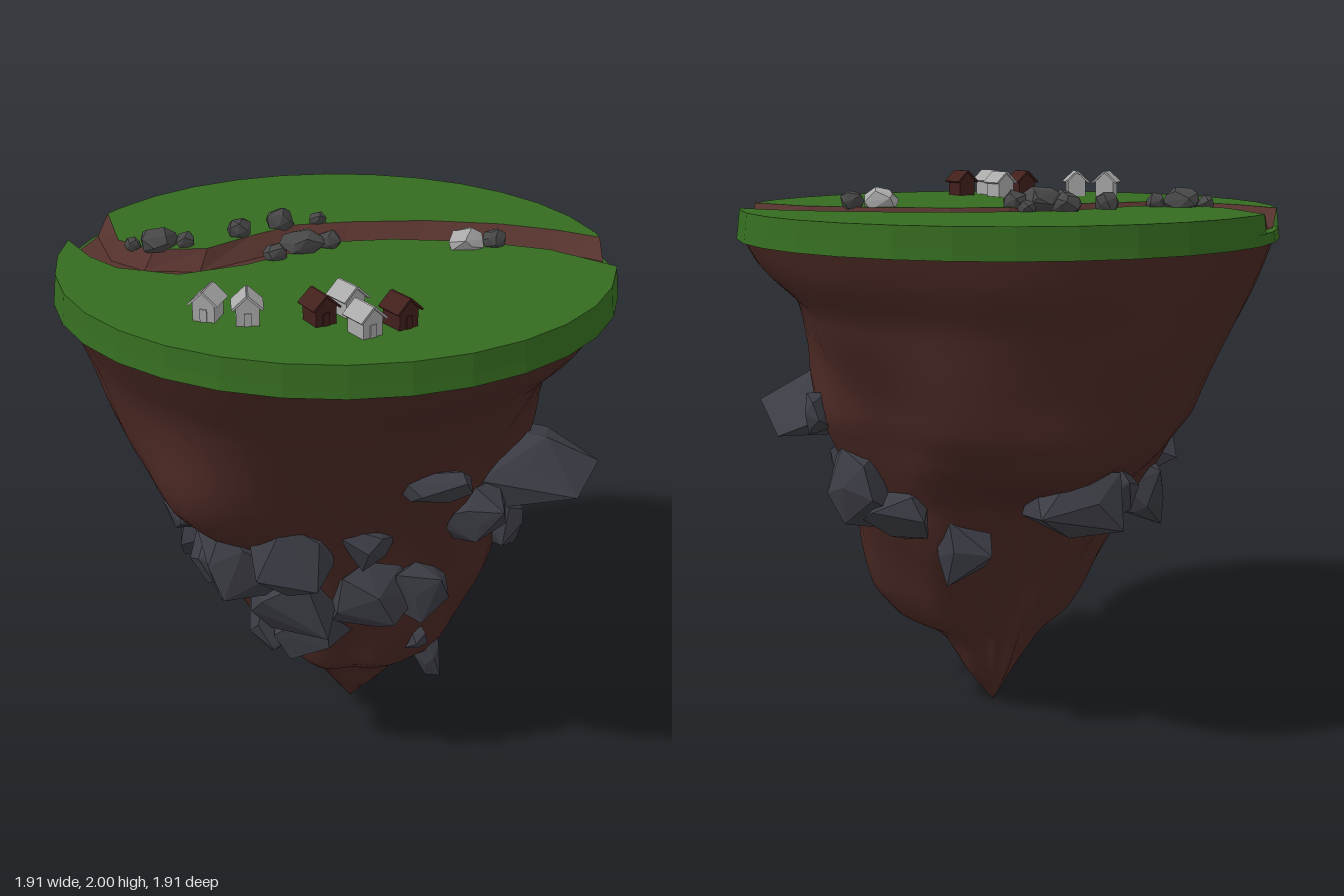
import * as THREE from 'three';
import { ConvexGeometry } from 'three/addons/geometries/ConvexGeometry.js';

const mat = (color, flatShading = true, side = THREE.FrontSide) =>
  new THREE.MeshStandardMaterial({ color, flatShading, side });
const GRASS = mat(0x356b20);
const EARTH = mat(0x4a2823, false, THREE.DoubleSide);
const BED = mat(0x54312c, true, THREE.DoubleSide);
const STONE = mat(0x3b3c44), BOULDER = mat(0x484848), PALE = mat(0xaaaaaa), WOOD = mat(0x42201c);
const SIDES = 32, TOP = 1.9, BED_Y = 1.838, CONE_TOP = 1.81;

let seed = 7;
const rnd = () => (seed = (seed * 16807) % 2147483647) / 2147483647;

function add(parent, name, geometry, material) {
  const mesh = new THREE.Mesh(geometry, material);
  mesh.name = name;
  parent.add(mesh);
  return mesh;
}

// Angular stone: hull of points spread over an ellipsoid
function chunk(n, sx, sy, sz, rough) {
  const pts = [];
  for (let i = 0; i < n; i++) {
    const h = 1 - 2 * (i + 0.5) / n, a = i * 2.4 + rnd() * 0.9;
    const r = Math.sqrt(1 - h * h), k = 1 + rough * (rnd() - 0.6);
    pts.push(new THREE.Vector3(r * Math.cos(a) * sx * k, h * sy * k, r * Math.sin(a) * sz * k));
  }
  return new ConvexGeometry(pts);
}

// The two river banks, west to east, as [x, z]
const northBank = [[-.72, -.61], [-.71, -.3], [-.6, -.17], [-.42, -.14], [-.25, -.24], [-.08, -.32],
  [.12, -.31], [.4, -.26], [.65, -.16], [.82, -.05], [.938, .06]];
const southBank = [[-.88, -.34], [-.82, -.15], [-.74, -.02], [-.55, .09], [-.32, .05], [-.12, -.04],
  [.02, -.11], [.22, -.09], [.5, 0], [.72, .14], [.875, .345]];

// Half of the grass plate: a bank closed by the rim arc from angle a0 to a1
function grassHalf(bank, a0, a1) {
  const pts = bank.map(p => new THREE.Vector2(...p));
  const step = 2 * Math.PI / SIDES, dir = Math.sign(a1 - a0);
  for (let k = 1; k < SIDES; k++) {
    const a = (dir > 0 ? Math.floor(a0 / step) : Math.ceil(a0 / step)) * step + dir * k * step;
    if ((a1 - a) * dir < 0.03) break;
    pts.push(new THREE.Vector2(0.943 * Math.cos(a), 0.943 * Math.sin(a)));
  }
  const g = new THREE.ExtrudeGeometry(new THREE.Shape(pts), { depth: TOP - 1.835, bevelEnabled: false });
  g.rotateX(Math.PI / 2).translate(0, TOP, 0);
  // Rim leans outward toward the bottom
  const p = g.attributes.position;
  for (let i = 0; i < p.count; i++) {
    if (p.getY(i) < 1.87 && Math.hypot(p.getX(i), p.getZ(i)) > 0.92) {
      p.setX(i, p.getX(i) * 1.009);
      p.setZ(i, p.getZ(i) * 1.009);
    }
  }
  g.computeVertexNormals();
  return g;
}

function indexed(pos, idx) {
  const g = new THREE.BufferGeometry();
  g.setAttribute('position', new THREE.Float32BufferAttribute(pos, 3));
  g.setIndex(idx);
  g.computeVertexNormals();
  return g;
}

// River channel: steep north side, flat bed, gentle south side
function riverBed() {
  const pos = [], idx = [];
  northBank.forEach((n, i) => {
    const s = southBank[i];
    [[0, TOP], [0.3, BED_Y + 0.004], [0.74, BED_Y], [1, TOP]].forEach(([t, y]) =>
      pos.push(n[0] + (s[0] - n[0]) * t, y, n[1] + (s[1] - n[1]) * t));
    if (i) for (let j = 0; j < 3; j++) {
      const a = (i - 1) * 4 + j, b = a + 4;
      idx.push(a, a + 1, b, b, a + 1, b + 1);
    }
  });
  return indexed(pos, idx);
}

// Earth cone profile: y, then radii toward +x, +z, -x and -z
const rows = [
  [1.81, .94, .94, .94, .94], [1.7, .88, .87, .89, .92], [1.58, .76, .77, .84, .88],
  [1.4, .72, .68, .77, .85], [1.2, .71, .58, .7, .8], [1.05, .62, .52, .6, .68],
  [.9, .59, .48, .53, .43], [.7, .53, .45, .44, .32], [.5, .45, .38, .34, .2],
  [.38, .36, .34, .27, .14], [.3, .21, .23, .17, .11], [.14, .11, .12, .08, .07], [0, 0, 0, 0, 0]];
const cubic = (a, b, c, d, t) =>
  b + 0.5 * t * (c - a + t * (2 * a - 5 * b + 4 * c - d + t * (3 * (b - c) + d - a)));
const axisX = y => 0.06 * Math.max(0, 1 - y / 1.2);

function coneRadius(a, y) {
  const k = Math.max(0, Math.min(rows.findIndex(r => r[0] <= y) - 1, rows.length - 2));
  const t = (rows[k][0] - y) / (rows[k][0] - rows[k + 1][0]);
  const q = a / (Math.PI / 2), m = Math.floor(q);
  const R = o => {
    const c = 1 + (m + o + 8) % 4;
    return rows[k][c] + (rows[k + 1][c] - rows[k][c]) * t;
  };
  // Front-left shoulder bulges, both sides of the back ridge are hollow
  const lobe = deg => Math.max(0, Math.cos(a - deg * Math.PI / 180)) ** 10;
  const bell = Math.exp(-(((y - 1.22) / 0.25) ** 2));
  const lumps = bell * (0.12 * lobe(140) - 0.09 * lobe(225) - 0.09 * lobe(315));
  // Shallow gullies running down the sides
  const fade = Math.min(1, (CONE_TOP - y) * 2) * Math.min(1, y * 2);
  const gullies = fade * 0.014 * (Math.sin(a * 9 + y * 4) + Math.sin(a * 5 - y * 9));
  return cubic(R(-1), R(0), R(1), R(2), q - m) + lumps + gullies;
}

function earthCone() {
  const cols = 56, steps = 44, pos = [], idx = [];
  for (let i = 0; i <= steps; i++) {
    const y = CONE_TOP * (1 - i / steps) ** 1.1;
    for (let j = 0; j < cols; j++) {
      const a = j / cols * 2 * Math.PI, r = coneRadius(a, y);
      pos.push(axisX(y) + r * Math.cos(a), y, r * Math.sin(a));
      if (i < steps) {
        const n = (j + 1) % cols, A = i * cols + j, B = i * cols + n;
        idx.push(A, B, A + cols, B, B + cols, A + cols);
      }
    }
  }
  return indexed(pos, idx);
}

// Stone set into the cone's surface, at an angle from +x toward +z
function juttingStone(parent, [deg, y, size, tall = 1]) {
  const a = deg * Math.PI / 180, r = coneRadius(a, y);
  const s = add(parent, 'juttingStone', chunk(15, size, size * tall * 1.1, size * 1.1, .6), STONE);
  s.position.set(axisX(y) + r * Math.cos(a), y, r * Math.sin(a));
  s.rotation.set(0, -a, (rnd() - .5) * .5);
}

// House with gabled body, two roof slabs and a door
function house(x, z, turn, material) {
  const g = new THREE.Group();
  g.name = 'house';
  const gable = new THREE.Shape([[-.035, 0], [.035, 0], [.035, .06], [0, .092], [-.035, .06]]
    .map(p => new THREE.Vector2(...p)));
  add(g, 'walls', new THREE.ExtrudeGeometry(gable, { depth: .08, bevelEnabled: false }).translate(0, 0, -.04), material);
  for (const s of [-1, 1]) {
    const roof = add(g, 'roof', new THREE.BoxGeometry(.062, .007, .096), material);
    roof.position.set(s * .0235, .0735, 0);
    roof.rotation.z = -s * 0.74;
  }
  add(g, 'door', new THREE.BoxGeometry(.022, .04, .006), material).position.set(0, .02, .041);
  g.position.set(x, TOP, z);
  g.rotation.y = turn;
  return g;
}

export function createModel() {
  const model = new THREE.Group();
  model.name = 'floatingIsland';

  add(model, 'grassBase', new THREE.CylinderGeometry(.951, .957, .036, SIDES), GRASS).position.y = 1.818;
  add(model, 'grassNorth', grassHalf(northBank, .064, -2.44), GRASS);
  add(model, 'grassSouth', grassHalf(southBank, .376, 3.51), GRASS);
  add(model, 'riverBed', riverBed(), BED);
  add(model, 'earthCone', earthCone(), EARTH);

  // Stones: angle in degrees, height, size, tallness
  [[141, .95, .15], [119, 1, .14], [126, .78, .18], [120, .63, .13], [137, .64, .12], [155, .9, .11],
   [90, .8, .13, 1.3], [92, 1.03, .09], [70, .82, .11], [72, 1.3, .11, .5], [53, 1.1, .14, .7],
   [21, 1.17, .26, .45], [22, .93, .13], [46, .37, .06, 1.9], [66, .54, .04, 1.4], [-11, 1.2, .07],
   [-21, .95, .15], [-34, .87, .11], [-58, .74, .11], [-102, .95, .19, .7], [-122, .93, .14],
   [190, .85, .11, 1.2], [178, .98, .1]].forEach(s => juttingStone(model, s));

  // Boulders along the river: x, z, radius
  [[-.58, -.2, .07], [-.49, -.19, .038], [-.67, -.21, .032], [-.29, -.26, .048], [-.13, -.33, .055],
   [.01, -.33, .032], [-.21, .01, .042], [-.1, -.06, .08], [-.01, -.07, .045], [.45, .04, .068, PALE], [.55, .05, .045]
  ].forEach(([x, z, r, m = BOULDER]) => {
    add(model, 'boulder', chunk(20, r, Math.min(r, .055) * .9, r * .9, .2), m)
      .position.set(x, TOP + Math.min(r, .05) * .4, z);
  });

  // Village
  [[-.51, .48, -.5, PALE], [-.4, .54, -.15, PALE], [-.19, .59, .3, WOOD],
   [-.09, .54, .4, PALE], [-.08, .71, .38, PALE], [.04, .67, .4, WOOD]
  ].forEach(h => model.add(house(...h)));

  return model;
}
